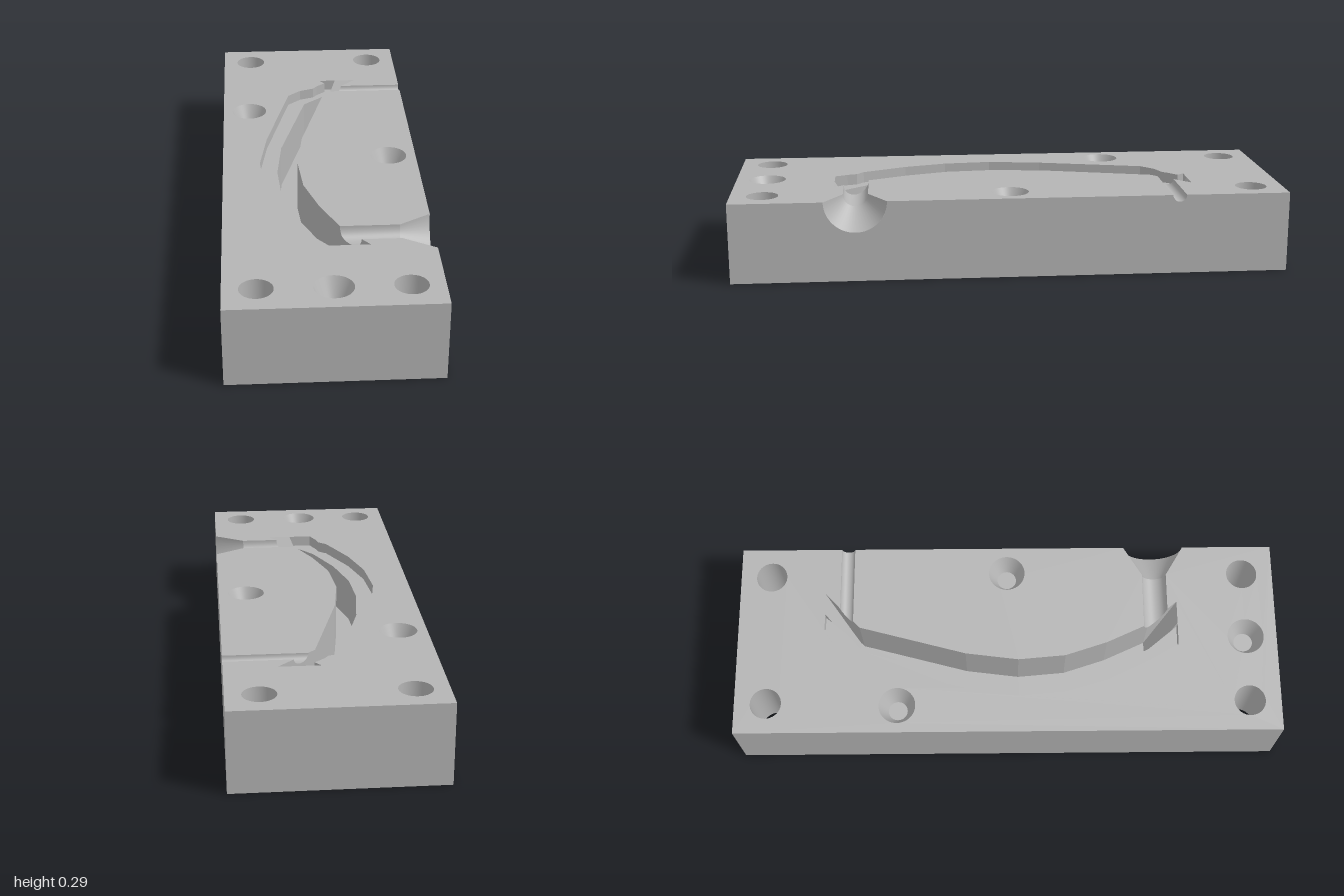
import * as THREE from 'three';

const W = 0.362, H = 0.29, L = 1;          // half width, height, half length
const SHELF = 0.04, DEEP = 0.2;            // depths of the two cavity levels
const Z0 = -0.68, Z1 = 0.635;              // cavity ends
const gate = { z: 0.555, r: 0.045, mouthR: 0.112, neckX: 0.25 };
const vent = { z: -0.6, r: 0.025 };
const boltHoles = [[-0.25, -0.885], [0.25, -0.885], [-0.25, 0.885], [0.25, 0.885]];
const sockets = [[-0.26, -0.405], [0.26, 0], [0, 0.885]];
const HOLE_R = 0.057, SOCKET_R = 0.067, SOCKET_FLOOR = 0.035, SOCKET_DEPTH = 0.07;

// Cavity edges as [x, z], running from back to front
const outerEdge = [[0.035, Z0], [0.055, -0.655], [0.02, -0.625], [0.005, -0.605], [-0.05, -0.585], [-0.1, -0.54],
  [-0.195, -0.155], [-0.225, 0.04], [-0.21, 0.215], [-0.165, 0.37], [-0.09, 0.53], [-0.06, 0.555], [-0.05, 0.59], [-0.03, Z1]];
const middleEdge = [[0.1, Z0], [0.035, -0.6], [-0.035, -0.54], [-0.14, -0.155], [-0.16, 0.04],
  [-0.15, 0.2], [-0.105, 0.37], [-0.035, 0.525], [0.055, Z1]];
const innerEdge = [[0.18, Z0], [0.085, -0.59], [0.045, -0.55], [-0.06, -0.155], [-0.085, 0.04],
  [-0.07, 0.215], [-0.02, 0.37], [0.05, 0.525], [0.14, Z1]];

// x of an edge at a given z
function xAt(edge, z) {
  for (let i = 1; i < edge.length; i++) {
    const [xa, za] = edge[i - 1], [xb, zb] = edge[i];
    if (z <= zb) return xa + (xb - xa) * Math.max(0, (z - za) / (zb - za));
  }
  return edge[edge.length - 1][0];
}

// Surface through rows of points
function loft(rows, smooth) {
  const n = rows[0].length, index = [];
  for (let r = 0; r < rows.length - 1; r++) {
    for (let i = 0; i < n - 1; i++) {
      const a = r * n + i, b = a + n;
      index.push(a, b, a + 1, b, b + 1, a + 1);
    }
  }
  let g = new THREE.BufferGeometry();
  g.setAttribute('position', new THREE.Float32BufferAttribute(rows.flat(2), 3));
  g.setIndex(index);
  if (!smooth) g = g.toNonIndexed();
  g.computeVertexNormals();
  return g;
}

// Flat upward face from [x, z] points
function flatFace(points, y, holes = []) {
  const shape = new THREE.Shape(points.map(([x, z]) => new THREE.Vector2(x, -z)));
  for (const [x, z, r] of holes) shape.holes.push(new THREE.Path().absarc(x, -z, r, 0, Math.PI * 2, true));
  return new THREE.ShapeGeometry(shape, 24).rotateX(-Math.PI / 2).translate(0, y, 0);
}

export function createModel() {
  const group = new THREE.Group();
  const steel = new THREE.MeshStandardMaterial({ color: 0xb4b4b4, side: THREE.DoubleSide });
  steel.name = 'plain grey';
  const add = (name, geometry) => {
    const mesh = new THREE.Mesh(geometry, steel);
    mesh.name = name;
    group.add(mesh);
    return mesh;
  };

  // Top face: main part around the cavity, and the island between vent and gate
  const gA = gate.z - gate.r, gB = gate.z + gate.r, vA = vent.z - vent.r, vB = vent.z + vent.r;
  const onInner = z => [xAt(innerEdge, z), z];
  const bolts = boltHoles.map(([x, z]) => [x, z, HOLE_R]);
  const rims = sockets.map(([x, z]) => [x, z, SOCKET_R]);
  add('topFace', flatFace([
    [W, -L], [-W, -L], [-W, L], [W, L], [W, gate.z + gate.mouthR], [gate.neckX, gB], onInner(gB),
    [0.14, Z1], ...[...outerEdge].reverse(), [0.18, Z0], onInner(vA), [W, vA],
  ], H, [...bolts, rims[0], rims[2]]));
  add('topIsland', flatFace([
    [W, vB], onInner(vB), ...innerEdge.filter(p => p[1] > vB && p[1] < gA), onInner(gA),
    [gate.neckX, gA], [W, gate.z - gate.mouthR],
  ], H, [rims[1]]));

  // Underside and plain sides
  const bottom = flatFace([[-W, -L], [-W, L], [W, L], [W, -L]], 0, bolts).rotateX(Math.PI);
  add('underside', bottom);
  add('frontSide', new THREE.PlaneGeometry(2 * W, H).translate(0, H / 2, L));
  add('backSide', new THREE.PlaneGeometry(2 * W, H).rotateY(Math.PI).translate(0, H / 2, -L));
  add('rightSide', new THREE.PlaneGeometry(2 * L, H).rotateY(-Math.PI / 2).translate(-W, H / 2, 0));

  // Left side with half-round openings for gate and vent
  const side = new THREE.Shape().moveTo(-L, 0).lineTo(L, 0).lineTo(L, H);
  side.lineTo(-vA, H).absarc(-vent.z, H, vent.r, 0, -Math.PI, true);
  side.lineTo(-gate.z + gate.mouthR, H).absarc(-gate.z, H, gate.mouthR, 0, -Math.PI, true);
  side.lineTo(-L, H);
  add('leftSide', new THREE.ShapeGeometry(side, 24).rotateY(Math.PI / 2).translate(W, 0, 0));

  // Bolt holes
  for (const [x, z] of boltHoles) {
    add('boltHole', new THREE.CylinderGeometry(HOLE_R, HOLE_R, H, 48, 1, true)).position.set(x, H / 2, z);
  }

  // Tapered alignment sockets with flat floors
  for (const [x, z] of sockets) {
    add('socketWall', new THREE.CylinderGeometry(SOCKET_R, SOCKET_FLOOR, SOCKET_DEPTH, 48, 1, true))
      .position.set(x, H - SOCKET_DEPTH / 2, z);
    add('socketFloor', new THREE.CircleGeometry(SOCKET_FLOOR, 48).rotateX(-Math.PI / 2))
      .position.set(x, H - SOCKET_DEPTH, z);
  }

  // Stations along the cavity, finer where gate and vent break in
  const stations = new Set([-0.565, 0.525]);
  for (const p of [...outerEdge, ...middleEdge, ...innerEdge]) stations.add(p[1]);
  for (const c of [gate, vent]) for (let i = 0; i <= 24; i++) stations.add(c.z - c.r * Math.cos(Math.PI * i / 24));
  const zs = [...stations].sort((a, b) => a - b);
  const clamp01 = t => Math.min(1, Math.max(0, t));
  const floorY = z => H - DEEP * clamp01(Math.min((z - Z0) / 0.115, (Z1 - z) / 0.11));
  const rimY = z => H - Math.max(...[gate, vent].map(c => Math.sqrt(Math.max(0, c.r ** 2 - (z - c.z) ** 2))));
  const line = (edge, y) => zs.map(z => [xAt(edge, z), y(z), z]);
  const top = () => H, shelf = () => H - SHELF;

  // Cavity: shallow shelf, deep channel with a ramp at each end
  add('shelfWall', loft([line(outerEdge, top), line(outerEdge, shelf)]));
  add('shelf', loft([line(outerEdge, shelf), line(middleEdge, shelf)]));
  add('channelOuterWall', loft([line(middleEdge, shelf), line(middleEdge, floorY)]));
  add('channelFloor', loft([line(middleEdge, floorY), line(innerEdge, floorY)]));
  add('channelInnerWall', loft([line(innerEdge, floorY), line(innerEdge, rimY)]));
  for (const z of [Z0, Z1]) {
    const a = xAt(outerEdge, z), b = xAt(middleEdge, z);
    add('shelfEnd', loft([[[a, H, z], [b, H, z]], [[a, H - SHELF, z], [b, H - SHELF, z]]]));
  }

  // Half-round channels from the cavity to the left side
  const arc = (c, r, x) => Array.from({ length: 25 }, (_, i) => {
    const t = Math.PI * i / 24, z = c.z - r * Math.cos(t);
    return [x ?? xAt(innerEdge, z), H - r * Math.sin(t), z];
  });
  add('ventChannel', loft([arc(vent, vent.r), arc(vent, vent.r, W)], true));
  add('gateChannel', loft([arc(gate, gate.r), arc(gate, gate.r, gate.neckX)], true));
  add('gateFunnel', loft([arc(gate, gate.r, gate.neckX), arc(gate, gate.mouthR, W)], true));

  return group;
}
